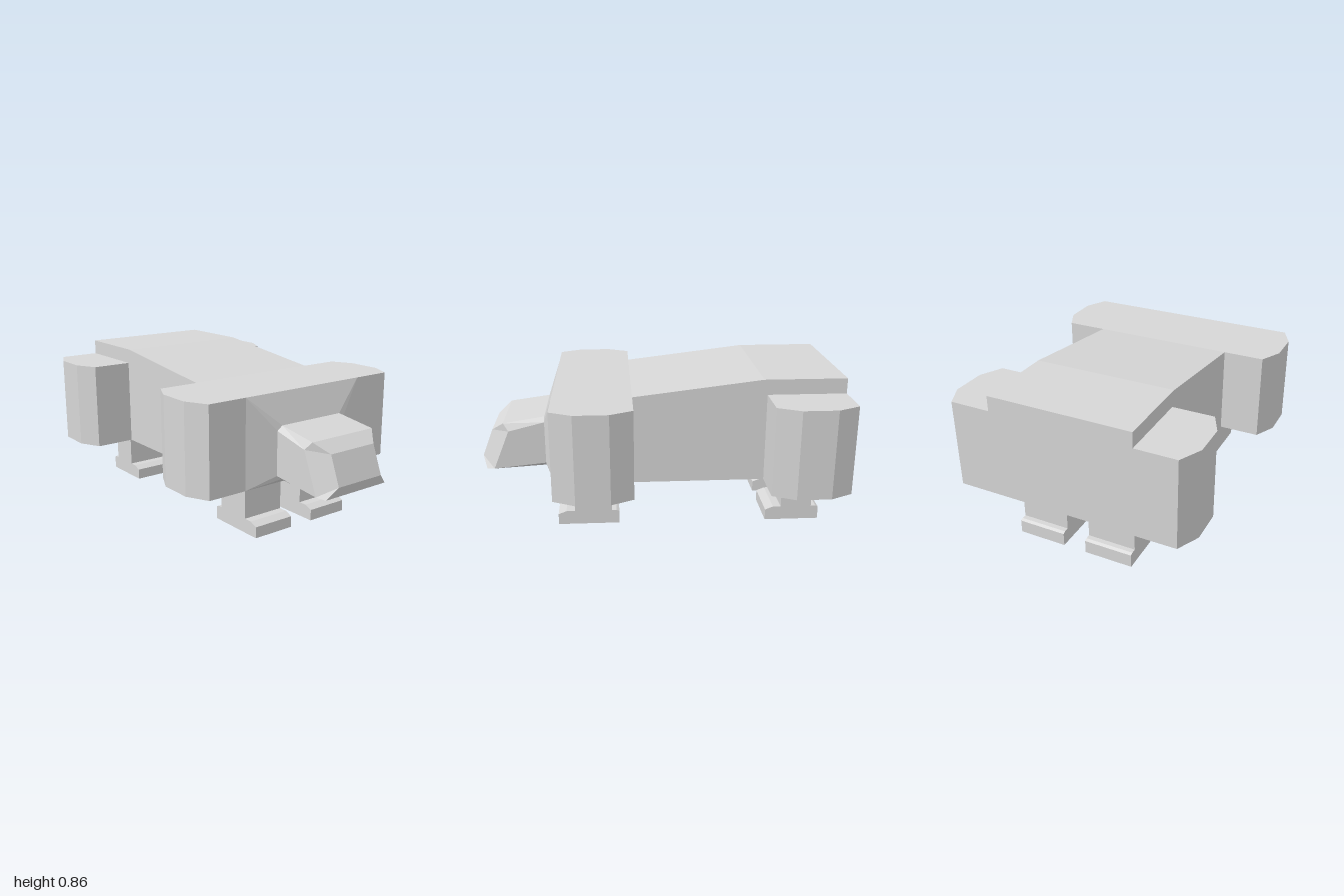
import * as THREE from 'three';

export function createModel() {
  const model = new THREE.Group();
  const grey = new THREE.MeshStandardMaterial({ color: 0xd6d6d6 });
  grey.name = 'plain grey';

  const add = (name, geometry) => {
    const mesh = new THREE.Mesh(geometry, grey);
    mesh.name = name;
    model.add(mesh);
  };
  const shapeOf = (pts) => new THREE.Shape(pts.map(([a, b]) => new THREE.Vector2(a, b)));

  // Side profile of [z, y] points, extruded from x0 to x1
  const sideExtrude = (pts, x0, x1) =>
    new THREE.ExtrudeGeometry(shapeOf(pts), { depth: x1 - x0, bevelEnabled: false })
      .rotateY(-Math.PI / 2).translate(x1, 0, 0);

  // Plan outline of [x, z] points, extruded from y0 to y1
  const planExtrude = (pts, y0, y1) =>
    new THREE.ExtrudeGeometry(shapeOf(pts.map(([x, z]) => [x, -z])), { depth: y1 - y0, bevelEnabled: false })
      .rotateX(-Math.PI / 2).translate(0, y0, 0);

  const BELLY = 0.283, SHOULDER = 0.773, HALF = 0.395, CHEST = 0.583;

  // Torso with a back that rises to the rump
  add('torso', sideExtrude([
    [-1, BELLY], [0.155, BELLY], [0.155, SHOULDER], [-0.55, 0.857], [-1, 0.857],
  ], -HALF, HALF));

  // Shoulder block across the front, hip blocks on both sides of the rear
  const bulge = (s, back, front) => [
    [s * 0.62, front], [s * 0.68, front - 0.122], [s * 0.68, back + 0.122], [s * 0.62, back],
  ];
  add('shoulders', planExtrude([...bulge(1, 0.155, CHEST), ...bulge(-1, 0.155, CHEST).reverse()], BELLY, SHOULDER));
  for (const s of [1, -1]) {
    add(s > 0 ? 'leftHip' : 'rightHip',
      planExtrude([[s * HALF, -1], [s * HALF, -0.57], ...bulge(s, -1, -0.57)], BELLY, SHOULDER));
  }

  // Skin mirrored cross-sections: each row holds the +x points [x, y, z] from bottom to top
  const loft = (sections, capped) => {
    const rings = sections.map((half) => [...half, ...half.map(([x, y, z]) => [-x, y, z]).reverse()]);
    const pos = [];
    for (let r = 0; r < rings.length - 1; r++) {
      const a = rings[r], b = rings[r + 1];
      for (let i = 0; i < a.length; i++) {
        const j = (i + 1) % a.length;
        pos.push(...a[i], ...a[j], ...b[j], ...a[i], ...b[j], ...b[i]);
      }
    }
    const end = rings[rings.length - 1];
    if (capped) for (let i = 1; i < end.length - 1; i++) pos.push(...end[0], ...end[i], ...end[i + 1]);
    const g = new THREE.BufferGeometry();
    g.setAttribute('position', new THREE.Float32BufferAttribute(pos, 3));
    g.computeVertexNormals();
    return g;
  };

  // Tapered neck and chamfered head
  const neckBase = [[HALF, BELLY, CHEST], [HALF, BELLY, CHEST], [HALF, SHOULDER, CHEST], [HALF, SHOULDER, CHEST]];
  const headBase = [[0.205, 0.322, 0.64], [0.235, 0.346, 0.64], [0.235, 0.587, 0.64], [0.203, 0.611, 0.64]];
  const brow = [[0.21, 0.308, 0.975], [0.235, 0.317, 0.93], [0.235, 0.537, 0.84], [0.21, 0.577, 0.87]];
  const muzzle = [[0.15, 0.368, 1], [0.15, 0.368, 1], [0.15, 0.522, 0.94], [0.15, 0.522, 0.94]];
  add('neck', loft([neckBase, headBase], false));
  add('head', loft([headBase, brow, muzzle], true));

  // Legs with feet: heel, leg back, leg front and toe positions along z
  const legs = [
    { name: 'front', heel: 0.233, back: 0.275, front: 0.485, toe: 0.578, inner: 0.073, outer: 0.32 },
    { name: 'rear', heel: -0.912, back: -0.87, front: -0.695, toe: -0.605, inner: 0.065, outer: 0.332 },
  ];
  for (const l of legs) {
    const profile = [
      [l.heel, 0], [l.toe, 0], [l.toe, 0.062], [l.toe - 0.045, 0.08], [l.front, 0.08], [l.front, BELLY],
      [l.back, BELLY], [l.back, 0.08], [l.heel + 0.015, 0.08], [l.heel, 0.072],
    ];
    add(l.name + 'LeftLeg', sideExtrude(profile, l.inner, l.outer));
    add(l.name + 'RightLeg', sideExtrude(profile, -l.outer, -l.inner));
  }
  return model;
}
